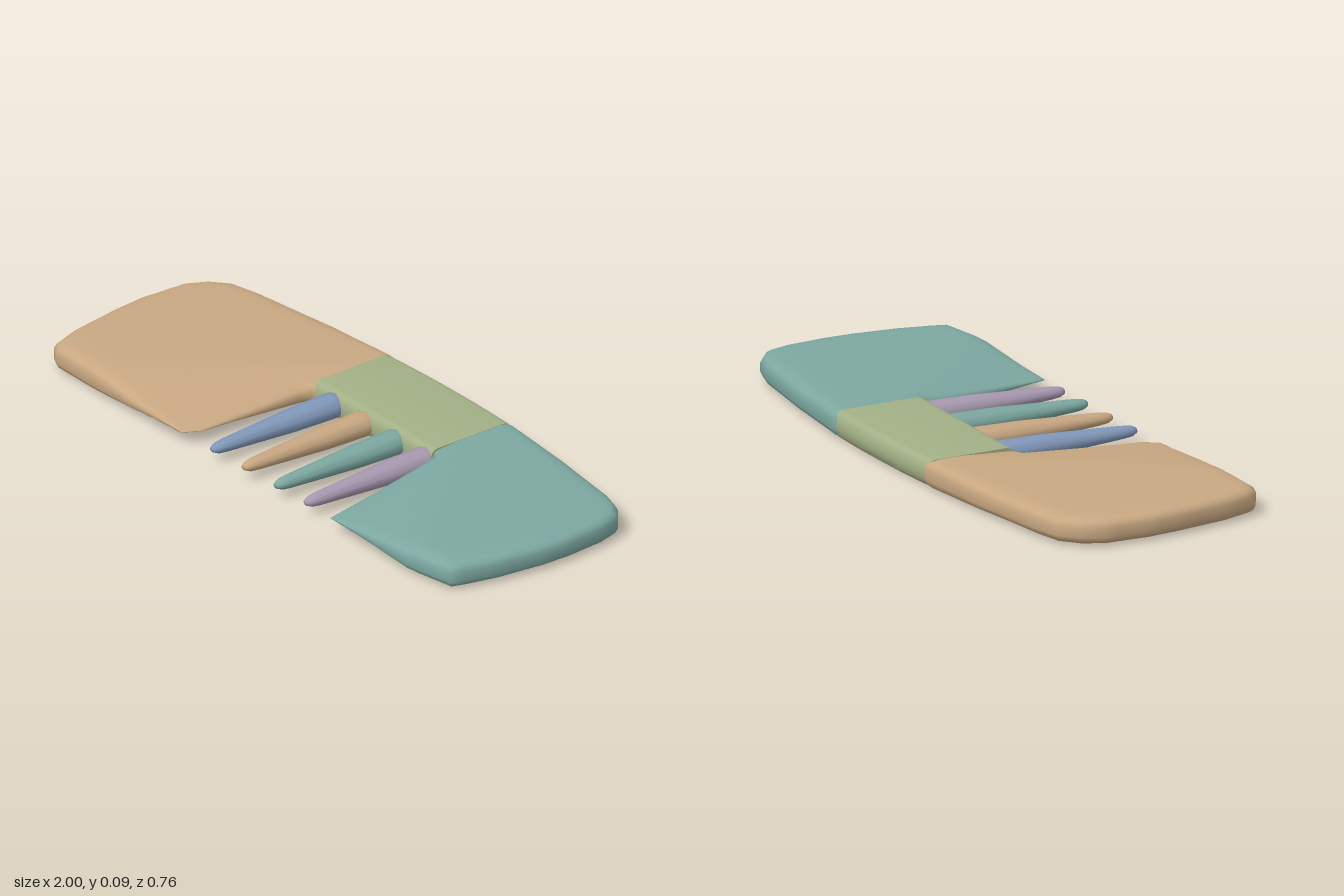
import * as THREE from 'three';
import { toCreasedNormals } from 'three/addons/utils/BufferGeometryUtils.js';

const MID = 0.0435; // height of the middle plane

const paint = (name, color) => {
  const m = new THREE.MeshStandardMaterial({ color });
  m.name = name;
  return m;
};

function add(group, name, geometry, material) {
  const mesh = new THREE.Mesh(geometry, material);
  mesh.name = name;
  group.add(mesh);
  return mesh;
}

// Split the outline into short even pieces
function subdivide(outline) {
  const out = [];
  outline.forEach(([x, z], i) => {
    const [x2, z2] = outline[(i + 1) % outline.length];
    const n = Math.max(1, Math.ceil(Math.hypot(x2 - x, z2 - z) / 0.05));
    for (let k = 0; k < n; k++) out.push([x + (x2 - x) * k / n, z + (z2 - z) * k / n]);
  });
  return out;
}

// Pillow-edged slab that thins from the fold line towards one corner
function wing(outline, [cx, cz], foldA, foldB, corner) {
  const H = 0.0415;
  const dist = (x, z) => (foldB[0] - foldA[0]) * (z - foldA[1]) - (foldB[1] - foldA[1]) * (x - foldA[0]);
  const full = dist(...corner);
  const half = (x, z) => H * (1 - 0.93 * THREE.MathUtils.clamp(dist(x, z) / full, 0, 1));
  const pts = subdivide(outline);
  const n = pts.length;

  // Rings from the centre out: [inset, share of the way to the centre, height share]
  const top = [];
  for (let i = 8; i > 0; i--) top.push([0.05, i / 8, 1]);
  top.push([0.05, 0, 1], [0.022, 0, 0.9], [0.008, 0, 0.7], [0, 0, 0.35]);
  const rings = [...top, ...top.slice().reverse().map(([a, b, c]) => [a, b, -c])];

  const pos = [], index = [];
  rings.forEach(([inset, t, hs], r) => {
    pts.forEach(([px, pz], j) => {
      const len = Math.hypot(cx - px, cz - pz);
      const f = inset / len + (1 - inset / len) * t;
      const x = px + (cx - px) * f, z = pz + (cz - pz) * f;
      pos.push(x, MID + half(x, z) * hs, z);
      if (r === rings.length - 1) return;
      const a = r * n + j, b = r * n + (j + 1) % n;
      index.push(a, b, a + n, b, b + n, a + n);
    });
  });
  const g = new THREE.BufferGeometry();
  g.setAttribute('position', new THREE.Float32BufferAttribute(pos, 3));
  g.setIndex(index);
  g.computeVertexNormals();
  return g;
}

// Rounded bar along x with a slightly bowed back
function spine(x0, x1) {
  const a = 0.0425, s = new THREE.Shape();
  const zb = 0.38, zf = 0.07, r = 0.03;
  s.moveTo(zf + r, -a);
  s.lineTo(zb - r, -a);
  s.quadraticCurveTo(zb - 0.003, -a, zb, 0);
  s.quadraticCurveTo(zb - 0.003, a, zb - r, a);
  s.lineTo(zf + r, a);
  s.quadraticCurveTo(zf, a, zf, 0);
  s.quadraticCurveTo(zf, -a, zf + r, -a);
  const g = new THREE.ExtrudeGeometry(s, { depth: x1 - x0, steps: 10, bevelEnabled: false, curveSegments: 6 });
  g.rotateY(Math.PI / 2); // section runs back along -z, length along +x
  g.translate(x0, MID, 0);
  const p = g.attributes.position;
  for (let i = 0; i < p.count; i++) {
    const u = (p.getX(i) - (x0 + x1) / 2) / ((x1 - x0) / 2);
    if (p.getZ(i) < -0.2) p.setZ(i, p.getZ(i) + 0.008 * u * u);
    else p.setZ(i, p.getZ(i) + 0.006 * u);
  }
  return toCreasedNormals(g, 0.7);
}

export function createModel() {
  const tan = paint('tan', 0xc9a882);
  const teal = paint('teal', 0x7da8a1);
  const olive = paint('olive green', 0xa3b086);
  const blue = paint('slate blue', 0x8299bb);
  const mauve = paint('mauve', 0xa899b0);

  const model = new THREE.Group();
  model.name = 'comb';

  // Wide end plates
  const leftOutline = [
    [0.27, -0.362], [0.32, -0.374], [0.6, -0.347], [0.85, -0.31], [0.92, -0.288], [0.965, -0.25],
    [0.985, -0.18], [0.995, -0.05], [0.992, 0.05], [0.97, 0.2], [0.94, 0.31], [0.925, 0.35],
    [0.75, 0.38], [0.405, 0.38], [0.327, -0.07], [0.27, -0.1],
  ];
  const rightOutline = [
    [-0.19, -0.362], [-0.24, -0.376], [-0.5, -0.36], [-0.8, -0.325], [-0.9, -0.303], [-0.955, -0.255],
    [-0.99, -0.19], [-1, -0.04], [-0.99, 0.07], [-0.96, 0.25], [-0.925, 0.35], [-0.89, 0.37],
    [-0.55, 0.38], [-0.295, 0.378], [-0.265, 0.33], [-0.242, -0.07], [-0.19, -0.1],
  ].reverse();
  add(model, 'leftPlate', wing(leftOutline, [0.65, -0.01], [0.32, -0.15], [0.8, 0.38], [0.405, 0.38]), teal);
  add(model, 'rightPlate', wing(rightOutline, [-0.62, -0.01], [-0.24, -0.25], [-0.72, 0.38], [-0.295, 0.378]), tan);

  // Bar joining the plates
  add(model, 'spine', spine(-0.24, 0.32), olive);

  // Tapered teeth
  const profile = [[0, -0.13], [0.045, -0.12], [0.045, -0.06], [0.041, 0.08], [0.024, 0.33], [0.02, 0.36], [0.011, 0.376], [0, 0.378]]
    .map(([r, y]) => new THREE.Vector2(r, y));
  const toothGeometry = new THREE.LatheGeometry(profile, 10);
  toothGeometry.rotateX(Math.PI / 2);
  toothGeometry.scale(1, 0.82, 1);
  const teeth = new THREE.Group();
  teeth.name = 'teeth';
  model.add(teeth);
  [[-0.152, blue], [-0.005, tan], [0.145, teal], [0.285, mauve]].forEach(([x, material], i) => {
    add(teeth, `tooth${i + 1}`, toothGeometry, material).position.set(x, MID, 0);
  });

  return model;
}
